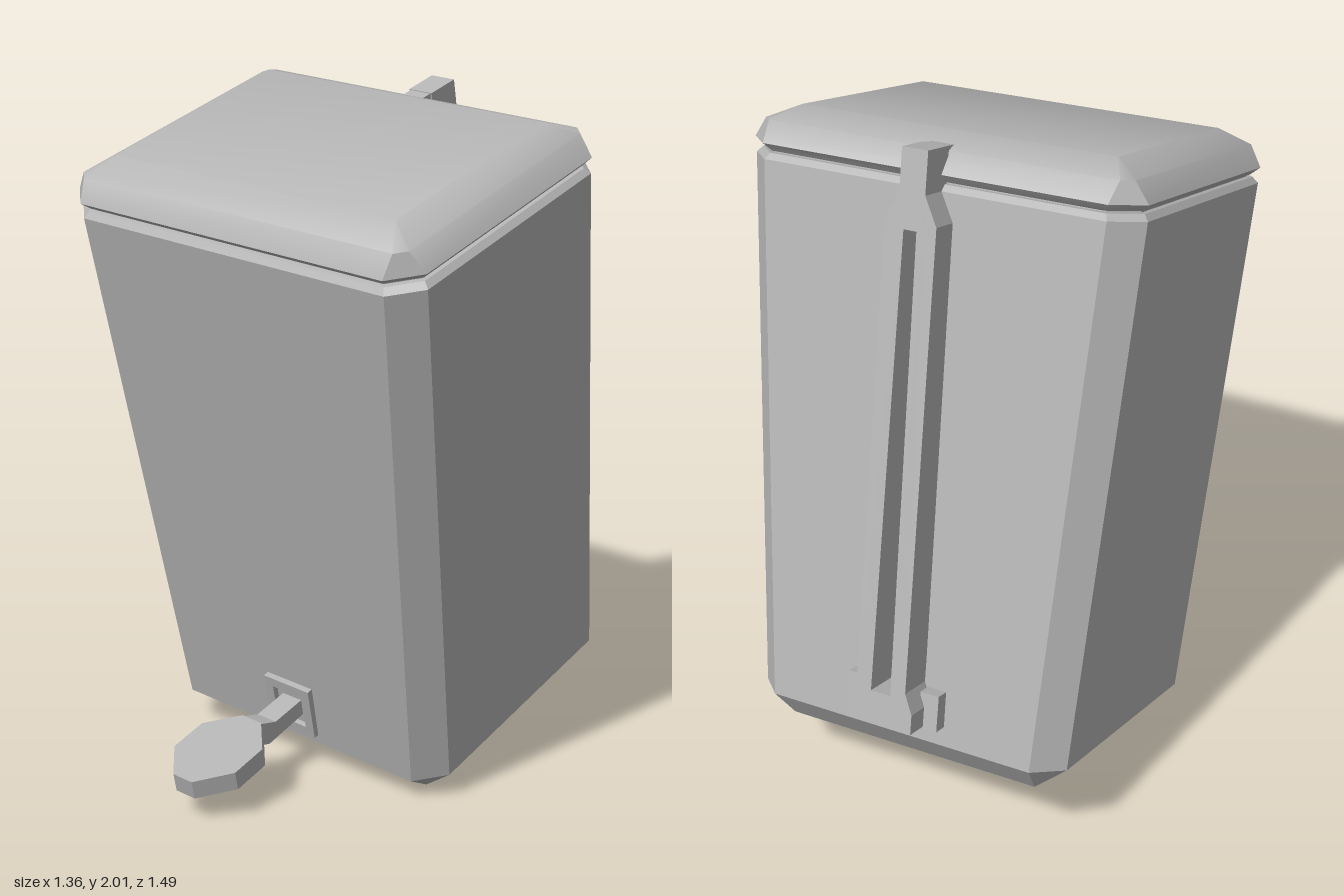
import * as THREE from 'three';
import { toCreasedNormals } from 'three/addons/utils/BufferGeometryUtils.js';

const grey = new THREE.MeshStandardMaterial({ color: 0xb4b4b4 });
grey.name = 'grey';

function part(name, geometry, parent, crease = 0.3) {
  const flat = geometry.index ? geometry.toNonIndexed() : geometry;
  const mesh = new THREE.Mesh(toCreasedNormals(flat, crease), grey);
  mesh.name = name;
  parent.add(mesh);
  return mesh;
}

// Rectangle with cut corners, at height y, centred on depth cz
function ring([y, cz, hw, hd, cut]) {
  return [
    [hw, -hd + cut], [hw, hd - cut], [hw - cut, hd], [-hw + cut, hd],
    [-hw, hd - cut], [-hw, -hd + cut], [-hw + cut, -hd], [hw - cut, -hd],
  ].map(([x, z]) => new THREE.Vector3(x, y, z + cz));
}

// Closed solid through a stack of rings
function loft(sections) {
  const rings = sections.map(ring);
  const out = [];
  const tri = (a, b, c) => {
    const area = b.clone().sub(a).cross(c.clone().sub(a)).length();
    if (area > 1e-7) for (const p of [a, b, c]) out.push(p.x, p.y, p.z);
  };
  for (let r = 0; r < rings.length - 1; r++) {
    const lo = rings[r], hi = rings[r + 1];
    for (let i = 0; i < 8; i++) {
      const j = (i + 1) % 8;
      tri(lo[i], hi[i], lo[j]);
      tri(lo[j], hi[i], hi[j]);
    }
  }
  const first = rings[0], last = rings[rings.length - 1];
  for (let i = 1; i < 7; i++) {
    tri(first[0], first[i], first[i + 1]);
    tri(last[0], last[i + 1], last[i]);
  }
  const geometry = new THREE.BufferGeometry();
  geometry.setAttribute('position', new THREE.Float32BufferAttribute(out, 3));
  return geometry;
}

// Left-right symmetric outline from its right half
function mirrored(half, Type = THREE.Shape) {
  const left = half.map(([x, y]) => [-x, y]).reverse();
  return new Type([...half, ...left].map(([x, y]) => new THREE.Vector2(x, y)));
}

function extrude(shape, depth) {
  return new THREE.ExtrudeGeometry(shape, { depth, bevelEnabled: false });
}

export function createModel() {
  const model = new THREE.Group();
  model.name = 'pedalBin';

  // The whole bin leans forward and is turned a little
  const bin = new THREE.Group();
  bin.name = 'tiltedBin';
  const tilt = THREE.MathUtils.degToRad(15), turn = THREE.MathUtils.degToRad(-13);
  bin.rotation.set(tilt, turn, 0);
  bin.position.x = -0.067 * Math.cos(turn);
  bin.position.y = 0.067 * Math.sin(-turn) * Math.sin(tilt);
  bin.position.z = -0.067 * Math.sin(-turn) * Math.cos(tilt);
  model.add(bin);

  // Body, widening upward, with a bevelled lip and a recessed neck
  part('body', loft([
    [0.05, -0.248, 0.41, 0.365, 0],
    [0.135, -0.248, 0.51, 0.452, 0.08],
    [1.74, -0.275, 0.61, 0.455, 0.08],
    [1.757, -0.275, 0.595, 0.44, 0.075],
    [1.757, -0.275, 0.58, 0.425, 0.07],
    [1.78, -0.275, 0.58, 0.425, 0.07],
  ]), bin);

  // Lid with a softly rounded top
  part('lid', loft([
    [1.764, -0.278, 0.59, 0.438, 0.075],
    [1.785, -0.278, 0.612, 0.459, 0.08],
    [1.845, -0.278, 0.572, 0.419, 0.03],
    [1.887, -0.278, 0.49, 0.33, 0],
  ]), bin, 0.6);

  // Slotted hinge strip down the back
  const strip = mirrored([
    [0.105, 0.2], [0.105, 0.26], [0.08, 0.32],
    [0.08, 1.66], [0.04, 1.74], [0.04, 1.86],
  ]);
  strip.holes.push(mirrored([[0.032, 0.3], [0.02, 1.64]], THREE.Path));
  part('hingeStrip', extrude(strip, 0.11), bin).position.z = -0.815;

  // Hook that reaches into the lid
  const hook = part('hingeHook', new THREE.BoxGeometry(0.07, 0.06, 0.14), bin);
  hook.position.set(0, 1.828, -0.74);

  // Tabs beside the foot of the strip
  for (const side of [-1, 1]) {
    const tab = part('hingeTab', new THREE.BoxGeometry(0.06, 0.11, 0.05), bin);
    tab.position.set(side * 0.12, 0.25, -0.72);
  }

  // Square socket around the pedal
  const socket = mirrored([[0.085, 0.165], [0.085, 0.335]]);
  socket.holes.push(mirrored([[0.055, 0.195], [0.055, 0.305]], THREE.Path));
  part('pedalSocket', extrude(socket, 0.03), bin).position.z = 0.19;

  // Pedal arm, profile drawn in depth and height
  const arm = new THREE.Shape([
    [0.17, 0.225], [0.36, 0.222], [0.42, 0.255],
    [0.42, 0.312], [0.38, 0.31], [0.32, 0.277], [0.17, 0.275],
  ].map(([z, y]) => new THREE.Vector2(-z, y)));
  const armMesh = part('pedalArm', extrude(arm, 0.07), bin);
  armMesh.rotation.y = Math.PI / 2;
  armMesh.position.x = -0.035;

  // Pedal plate
  const plate = mirrored([[0.035, -0.685], [0.117, -0.59], [0.117, -0.47], [0.036, -0.38]]);
  const plateMesh = part('pedalPlate', extrude(plate, 0.06), bin);
  plateMesh.rotation.x = -Math.PI / 2;
  plateMesh.position.y = 0.255;

  return model;
}
